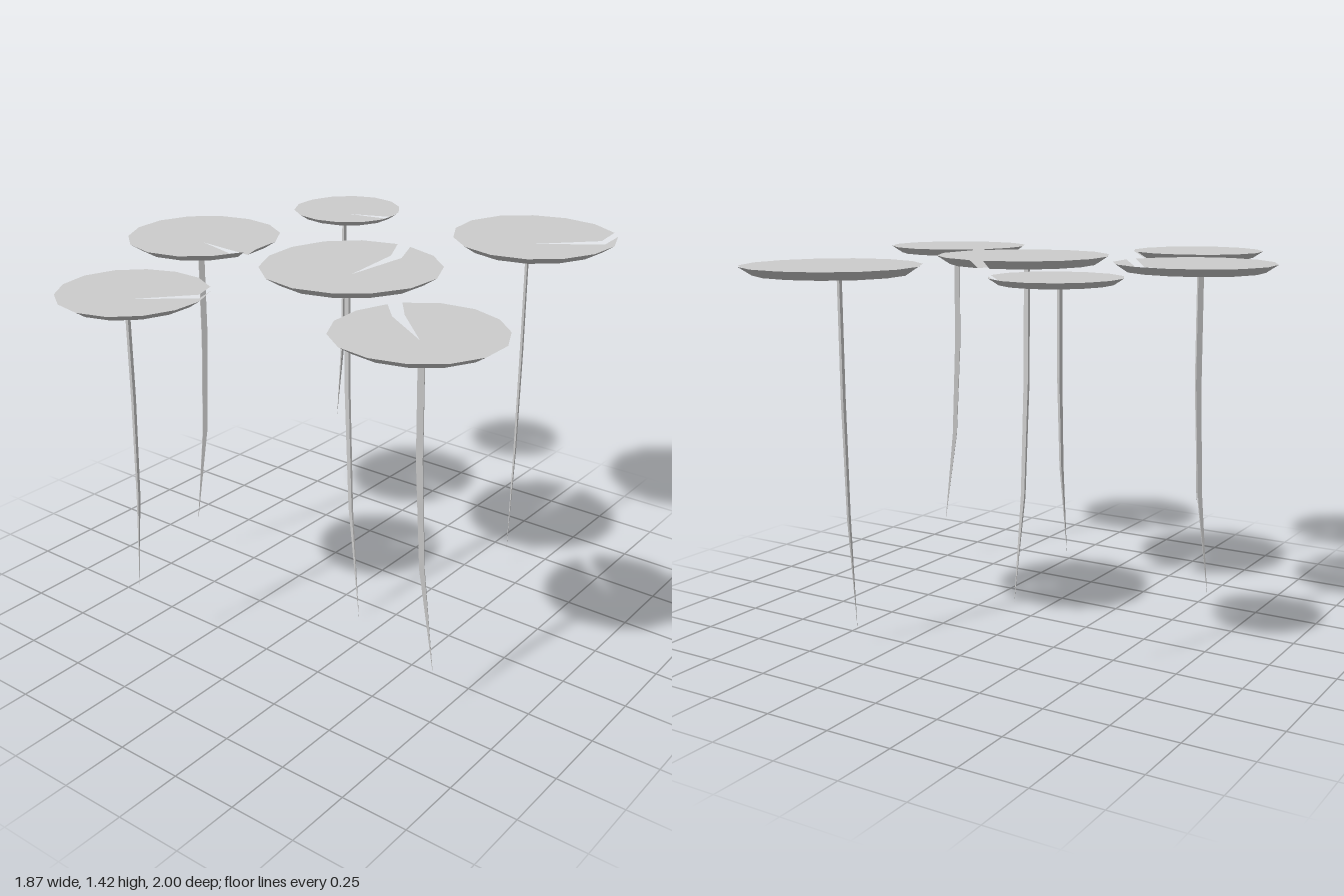
import * as THREE from 'three';

const BASE = 1.386, SIDES = 14;
const SLIT = THREE.MathUtils.degToRad(5.2);
const leafMaterial = new THREE.MeshStandardMaterial({ color: 0xcccccc, side: THREE.DoubleSide });
const stemMaterial = new THREE.MeshStandardMaterial({ color: 0xcccccc, flatShading: true });

// Each plant: leaf centre, radius, slit direction (degrees, 0 = +x, 90 = -z),
// stem tip height and sideways drift of the tip
const PLANTS = [
  { name: 'centre', x: 0.066, z: 0.057, r: 0.331, slit: 90, tipY: 0, drift: [0.077, 0.025] },
  { name: 'backLeft', x: 0.386, z: -0.688, r: 0.318, slit: 40.5, tipY: 0.07, drift: [0.022, 0.07] },
  { name: 'backRight', x: -0.462, z: -0.614, r: 0.221, slit: 16.3, tipY: 0.49, drift: [-0.003, 0.05] },
  { name: 'right', x: -0.641, z: 0.073, r: 0.294, slit: -10.7, tipY: 0.18, drift: [-0.037, 0.055] },
  { name: 'frontRight', x: -0.354, z: 0.733, r: 0.263, slit: 44, tipY: 0.29, drift: [0.022, 0.058] },
  { name: 'frontLeft', x: 0.653, z: 0.476, r: 0.287, slit: 141.4, tipY: 0.18, drift: [0.062, -0.026] },
];

// Thin open dish: flat floor, upturned rim, and a narrow slit to its centre
function leafGeometry(r, slitAngle, seed) {
  const points = [0, 0, 0];
  const index = [];
  for (let i = 0; i <= SIDES; i++) {
    const a = slitAngle + SLIT + (i / SIDES) * (Math.PI * 2 - SLIT * 2);
    const rr = r * (1 + 0.015 * Math.sin(i * 1.3 + seed * 2));
    const x = rr * Math.cos(a), z = -rr * Math.sin(a);
    points.push(x * 0.85, 0, z * 0.85, x, r * 0.098, z);
    if (i < SIDES) {
      const k = 1 + i * 2; // floor corner, followed by its rim corner
      index.push(0, k, k + 2, k, k + 1, k + 3, k, k + 3, k + 2);
    }
  }
  const geo = new THREE.BufferGeometry();
  geo.setAttribute('position', new THREE.Float32BufferAttribute(points, 3));
  // Upright normals keep the leaf evenly shaded
  geo.setAttribute('normal', new THREE.Float32BufferAttribute(points.map((_, i) => (i % 3 === 1 ? 1 : 0)), 3));
  geo.setIndex(index);
  return geo;
}

// Thin strap that bends in its own plane and tapers to a tip
function stemGeometry(width, length, drift) {
  const geo = new THREE.BoxGeometry(width, 1, 0.009, 1, 3, 1);
  const taper = [1, 1, 0.8, 0.03];
  const p = geo.attributes.position;
  for (let i = 0; i < p.count; i++) {
    const t = 0.5 - p.getY(i);
    const k = taper[Math.round(t * 3)];
    p.setXYZ(i, p.getX(i) * k + drift * t ** 3, -t * length, p.getZ(i) * k);
  }
  geo.computeVertexNormals();
  return geo;
}

export function createModel() {
  const model = new THREE.Group();
  model.name = 'lilyPads';
  PLANTS.forEach(({ name, x, z, r, slit, tipY, drift }, i) => {
    const plant = new THREE.Group();
    plant.name = name + 'LilyPad';
    plant.position.set(x, 0, z);
    const angle = THREE.MathUtils.degToRad(slit);

    const leaf = new THREE.Mesh(leafGeometry(r, angle, i), leafMaterial);
    leaf.name = 'leaf';
    leaf.position.y = BASE;

    // The stem meets the leaf just behind the end of the slit
    const stem = new THREE.Mesh(
      stemGeometry(r * 0.078, BASE - 0.001 - tipY, Math.hypot(...drift)), stemMaterial);
    stem.name = 'stem';
    stem.position.set(-0.07 * r * Math.cos(angle), BASE - 0.001, 0.07 * r * Math.sin(angle));
    stem.rotation.y = Math.atan2(-drift[1], drift[0]);

    plant.add(leaf, stem);
    model.add(plant);
  });
  return model;
}
